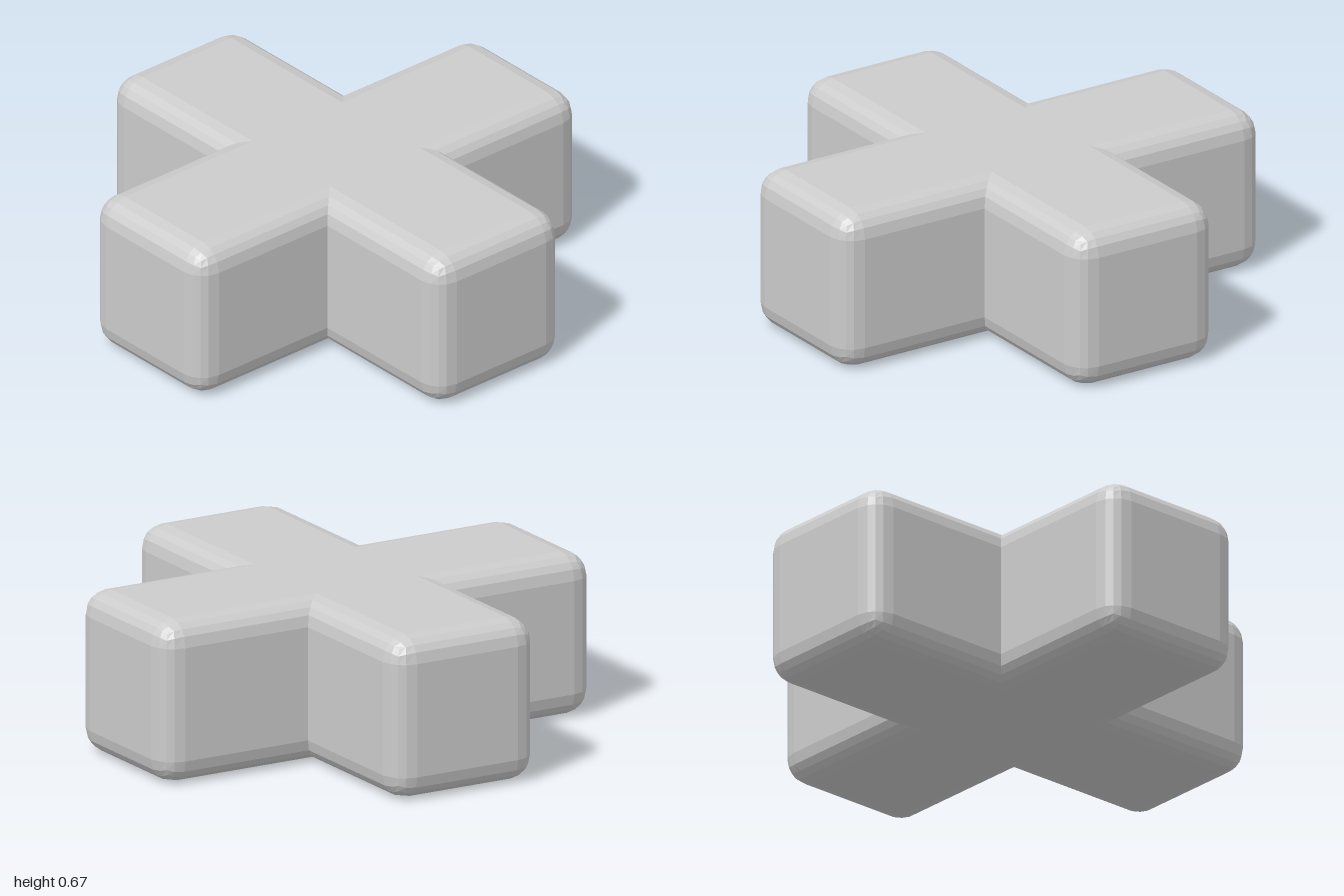
import * as THREE from 'three';
import { RoundedBoxGeometry } from 'three/addons/geometries/RoundedBoxGeometry.js';

const LENGTH = 2;
const THICKNESS = LENGTH / 3;
const BEVEL = 0.1;

export function createModel() {
  const group = new THREE.Group();
  group.name = 'roundedCross';

  const material = new THREE.MeshStandardMaterial({ color: 0xcccccc, flatShading: true });
  const barGeometry = new RoundedBoxGeometry(LENGTH, THICKNESS, THICKNESS, 2, BEVEL);

  // Two identical bevelled bars crossing at right angles
  ['sideToSideBar', 'frontToBackBar'].forEach((name, i) => {
    const bar = new THREE.Mesh(barGeometry, material);
    bar.name = name;
    bar.position.y = THICKNESS / 2;
    bar.rotation.y = (i * Math.PI) / 2;
    group.add(bar);
  });

  return group;
}
